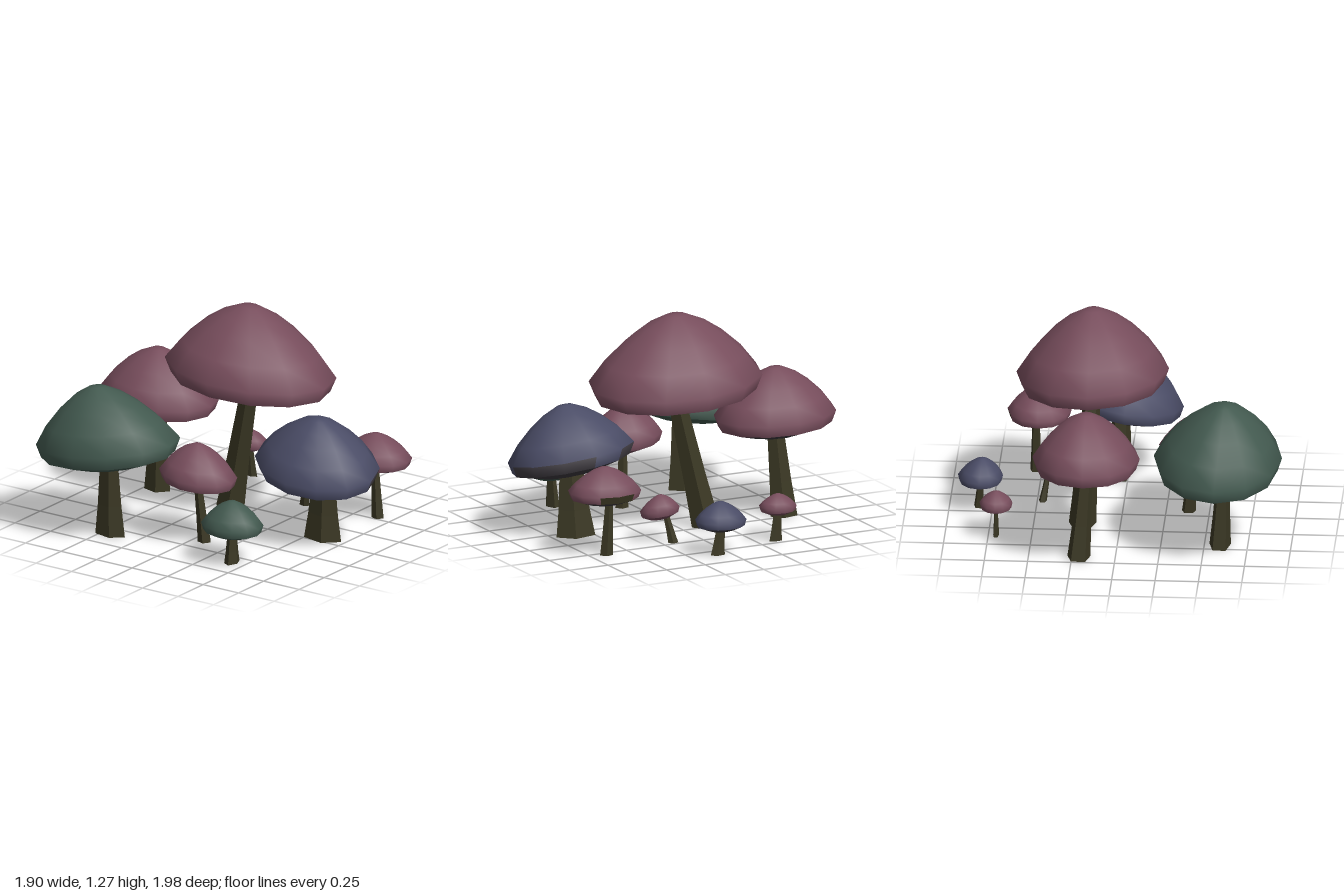
import * as THREE from 'three';
import { mergeVertices } from 'three/addons/utils/BufferGeometryUtils.js';

const mat = (name, color, extra = {}) => {
  const m = new THREE.MeshStandardMaterial({ color, ...extra });
  m.name = name;
  return m;
};

const SIDES = 12;
const DEPTH = 1.18; // caps are this much longer in z than in x
// profiles as (radius, height): height 1 = apex, 0 = rim, -1 = lowest point of the underside
const v = (r, h) => new THREE.Vector2(r, h);
const CAP = [v(0.93, -0.55), v(1, 0), v(0.81, 0.33), v(0.57, 0.63), v(0.35, 0.84), v(0.12, 0.985), v(0, 1)];
const UNDER = [v(0, -1), v(0.5, -0.95), v(0.93, -0.55)];

// turned surface stretched to an ellipse, leaned at the rim and pulled towards an off-centre apex
function turned(profile, r, height, sag, [leanX, leanZ], [apexX, apexZ]) {
  let g = new THREE.LatheGeometry(profile, SIDES);
  const p = g.attributes.position;
  for (let i = 0; i < p.count; i++) {
    const x = p.getX(i) * r, z = p.getZ(i) * r * DEPTH, h = p.getY(i);
    const up = Math.max(h, 0);
    const y = h * (h > 0 ? height : sag) + leanX * x + leanZ * z;
    p.setXYZ(i, x + apexX * up, y, z + apexZ * up);
  }
  g.deleteAttribute('normal');
  g.deleteAttribute('uv');
  g = mergeVertices(g, 1e-5);
  g.computeVertexNormals();
  return g;
}

// five-sided stem that tapers upward and bends from its foot to the cap
function stemGeometry(foot, head, top, radii) {
  const g = new THREE.CylinderGeometry(1, 1, 2, 5, 2);
  const p = g.attributes.position;
  for (let i = 0; i < p.count; i++) {
    const level = Math.round(p.getY(i)) + 1; // 0 foot, 1 bend, 2 head
    const width = 1 - 0.2 * level;
    const shift = level === 1 ? 0.4 : level / 2;
    const along = (a) => foot[a] + (head[a] - foot[a]) * shift;
    p.setXYZ(i, along(0) + p.getX(i) * radii[0] * width, top * shift, along(1) + p.getZ(i) * radii[1] * width);
  }
  g.computeVertexNormals();
  return g;
}

export function createModel() {
  const plum = mat('plum cap', 0x774d5c);
  const green = mat('green cap', 0x435a50);
  const blue = mat('blue cap', 0x4a4c66);
  const grey = mat('grey gills', 0x3e3a40);
  const olive = mat('olive stem', 0x3b3824, { flatShading: true });

  const model = new THREE.Group();
  model.name = 'mushroomCluster';

  // (x, z) cap centre, r cap radius in x, rim and apex heights, foot centre and stem radii
  function mushroom(name, capMat, underMat, x, z, r, rim, apexY, foot, radii, options = {}) {
    const { lean = [0, 0], apex = [0, 0], head = [0, 0], patch, patchSides } = options;
    const height = apexY - rim;
    const sag = 0.03 + 0.33 * height;
    const group = new THREE.Group();
    group.name = name;
    const add = (part, geometry, material) => {
      const mesh = new THREE.Mesh(geometry, material);
      mesh.name = part;
      group.add(mesh);
      return mesh;
    };

    // cap, with some rim facets in a second colour
    const cap = turned(CAP, r, height, sag, lean, apex);
    if (patch) {
      const perSide = (CAP.length - 1) * 6;
      for (let i = 0; i < SIDES; i++) {
        cap.addGroup(i * perSide, 6, patchSides.includes(i) ? 1 : 0);
        cap.addGroup(i * perSide + 6, perSide - 6, 0);
      }
    }
    add('cap', cap, patch ? [capMat, patch] : capMat).position.set(x, rim, z);
    add('underside', turned(UNDER, r, height, sag, lean, apex), underMat).position.set(x, rim, z);
    add('stem', stemGeometry(foot, [x + head[0], z + head[1]], rim - sag * 0.7, radii), olive);
    model.add(group);
  }

  // tall mushrooms
  mushroom('tallMushroom', plum, plum, 0.17, 0.01, 0.44, 0.89, 1.27, [0.22, -0.16], [0.083, 0.09], { lean: [-0.045, -0.06] });
  mushroom('backMushroom', plum, grey, 0.17, -0.635, 0.31, 0.605, 0.88, [0.21, -0.67], [0.07, 0.085], { lean: [0, -0.04] });
  mushroom('largeGreenMushroom', green, green, -0.58, -0.465, 0.37, 0.56, 0.9, [-0.59, -0.44], [0.065, 0.1],
    { lean: [0, 0.12], apex: [-0.04, -0.05], head: [-0.03, 0.03] });
  mushroom('frontBlueMushroom', blue, grey, 0, 0.6, 0.32, 0.48, 0.76, [0.06, 0.6], [0.085, 0.125],
    { lean: [0.14, -0.12], apex: [-0.03, 0.03], head: [0.04, 0.02], patch: grey, patchSides: [0, 1, 2, 4] });

  // middle and small mushrooms
  mushroom('leftMushroom', plum, plum, -0.41, 0.05, 0.2, 0.42, 0.6, [-0.38, 0.075], [0.042, 0.04], { lean: [0, -0.08] });
  mushroom('frontMushroom', plum, grey, 0.515, 0.65, 0.185, 0.38, 0.52, [0.535, 0.65], [0.036, 0.04],
    { head: [0.02, -0.02], patch: olive, patchSides: [2, 3] });
  mushroom('smallGreenMushroom', green, green, -0.595, 0.42, 0.16, 0.24, 0.38, [-0.59, 0.415], [0.06, 0.038]);
  mushroom('smallBlueMushroom', blue, grey, 0.82, 0.055, 0.13, 0.205, 0.31, [0.83, 0.08], [0.03, 0.045], { apex: [-0.01, 0] });
  mushroom('tinyFrontMushroom', plum, plum, 0.415, 0.24, 0.1, 0.195, 0.28, [0.468, 0.18], [0.024, 0.032],
    { lean: [0.1, -0.1], head: [0.025, -0.03] });
  mushroom('tinyBackMushroom', plum, plum, 0.705, -0.375, 0.095, 0.21, 0.28, [0.705, -0.362], [0.018, 0.042]);

  return model;
}
